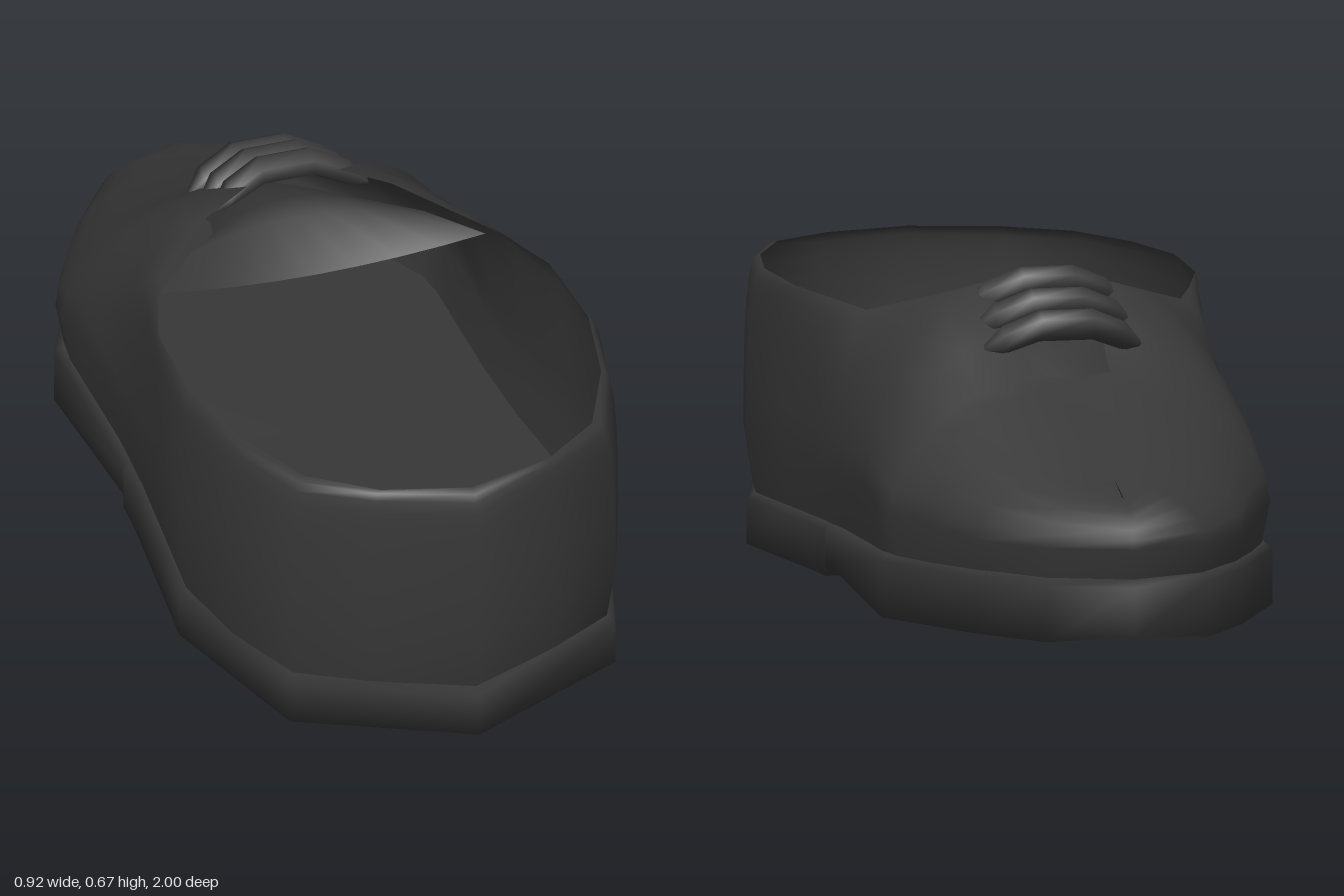
import * as THREE from 'three';
import { mergeVertices } from 'three/addons/utils/BufferGeometryUtils.js';

const material = new THREE.MeshStandardMaterial({ color: 0x373737, side: THREE.DoubleSide });

function part(name, geometry) {
  const mesh = new THREE.Mesh(geometry, material);
  mesh.name = name;
  return mesh;
}

// Smooth surface through rows of points; closed joins the last row to the first.
function skin(rows, closed) {
  const n = rows.length, m = rows[0].length, index = [];
  for (let i = 0; i < (closed ? n : n - 1); i++) {
    for (let j = 0; j < m - 1; j++) {
      const a = i * m + j, b = ((i + 1) % n) * m + j;
      index.push(a, b, b + 1, a, b + 1, a + 1);
    }
  }
  const g = new THREE.BufferGeometry();
  g.setAttribute('position', new THREE.Float32BufferAttribute(rows.flat(2), 3));
  g.setIndex(index);
  const merged = mergeVertices(g);
  merged.computeVertexNormals();
  return merged;
}

// Closed skin from the left half's rows, running from heel to toe.
function mirroredSkin(half) {
  const mirrored = half.slice(1, -1).reverse()
    .map((row) => row.map(([x, y, z]) => [-x, y, z]));
  return skin([...half, ...mirrored], true);
}

// Each column: widest point x, z, then top point x, y, z, from heel to toe.
const columns = [
  [0, 1, 0, 0.595, 0.95],
  [0.2, 0.91, 0.18, 0.595, 0.9],
  [0.35, 0.83, 0.31, 0.595, 0.8],
  [0.42, 0.64, 0.39, 0.595, 0.62],
  [0.46, 0.45, 0.43, 0.595, 0.42],
  [0.44, 0.25, 0.42, 0.59, 0.2],
  [0.42, 0.05, 0.37, 0.58, 0.05],
  [0.41, -0.13, 0.33, 0.57, -0.04],
  [0.41, -0.25, 0.2, 0.615, -0.15],
  [0.41, -0.35, 0.1, 0.645, -0.19],
  [0.41, -0.45, 0.09, 0.56, -0.33],
  [0.4, -0.52, 0.08, 0.485, -0.45],
  [0.35, -0.63, 0, 0.475, -0.47],
  [0.28, -0.77, 0, 0.37, -0.68],
  [0.17, -0.92, 0, 0.32, -0.81],
  [0, -0.99, 0, 0.29, -0.88],
];

// Tucked in at the sole, widest, then a curve to the top: boxy at the heel, slacker on the vamp.
function profile([x, z, tx, ty, tz], i) {
  const wide = 0.13 + Math.max(0.065, (ty - 0.13) * 0.25);
  const power = 2 / (i < 8 ? 3.6 - i * 0.25 : 1.65 + (i - 8) * 0.03);
  const points = [[x * 0.96, 0.125, z * 0.98]];
  const steps = 7;
  for (let k = 0; k <= steps; k++) {
    const a = (k / steps) * Math.PI / 2;
    const up = Math.sin(a) ** power;
    const inward = k === steps ? 1 : 1 - Math.cos(a) ** power;
    points.push([x + (tx - x) * inward, wide + (ty - wide) * up, z + (tz - z) * inward]);
  }
  return points;
}

// Sole x, z, underside height at edge and centre: flat heel, step, hollow forefoot, toe spring.
const soleOutline = [
  [0, 1, 0.025, 0.025],
  [0.35, 0.83, 0.025, 0.025],
  [0.46, 0.45, 0.025, 0.025],
  [0.44, 0.25, 0.025, 0.025],
  [0.42, 0.05, 0.025, 0.025],
  [0.415, -0.04, 0.025, 0.025],
  [0.415, -0.042, 0.055, 0.055],
  [0.41, -0.5, 0.003, 0.037],
  [0.28, -0.77, 0.003, 0.027],
  [0.17, -0.93, 0.003, 0.021],
  [0, -1, 0.018, 0.018],
];

// Underside, side wall, bevel and inner floor of the sole
function makeSole() {
  return mirroredSkin(soleOutline.map(([x, z, edge, centre]) => [
    [0, centre, z], [x, edge, z], [x, 0.118, z], [x * 0.96, 0.132, z * 0.98], [0, 0.132, z * 0.98],
  ]));
}

// Tongue rows: z, half width, centre height, edge height.
function makeTongue() {
  const rows = [
    [0, 0.35, 0.5, 0.555],
    [-0.1, 0.25, 0.58, 0.57],
    [-0.17, 0.18, 0.585, 0.56],
    [-0.33, 0.13, 0.515, 0.48],
    [-0.43, 0.12, 0.46, 0.43],
  ];
  return skin(rows.map(([z, w, yc, ye]) => {
    const row = [];
    for (let k = -4; k <= 4; k++) {
      const u = k / 4;
      row.push([u * w, yc + (ye - yc) * u * u, z - 0.045 * (1 - u * u)]);
    }
    return row;
  }).reverse(), false);
}

// One angular lace over the slot: hexagonal sections tapering to ends resting on the upper.
function makeLace(y, z) {
  const stations = [
    [-0.165, -0.05, 0.035, 0.008], [-0.13, -0.03, 0.018, 0.03], [-0.055, 0, 0, 0.032],
    [0.055, 0, 0, 0.032], [0.13, -0.03, 0.018, 0.03], [0.165, -0.05, 0.035, 0.008],
  ];
  return skin(stations.map(([x, dy, dz, r]) => {
    const ring = [];
    for (let k = 0; k <= 6; k++) {
      const a = (k % 6) * Math.PI / 3 + 0.5;
      ring.push([x, y + dy + r * Math.sin(a), z + dz - r * Math.cos(a)]);
    }
    return ring;
  }).reverse(), false);
}

export function createModel() {
  const shoe = new THREE.Group();
  shoe.name = 'shoe';

  shoe.add(part('upper', mirroredSkin(columns.map(profile))));
  shoe.add(part('tongue', makeTongue()));
  shoe.add(part('sole', makeSole()));

  // Laces
  const laces = new THREE.Group();
  laces.name = 'laces';
  [[0.645, -0.24], [0.612, -0.325], [0.578, -0.405]].forEach(([y, z], i) => {
    laces.add(part(`lace${i + 1}`, makeLace(y, z)));
  });
  shoe.add(laces);
  return shoe;
}
